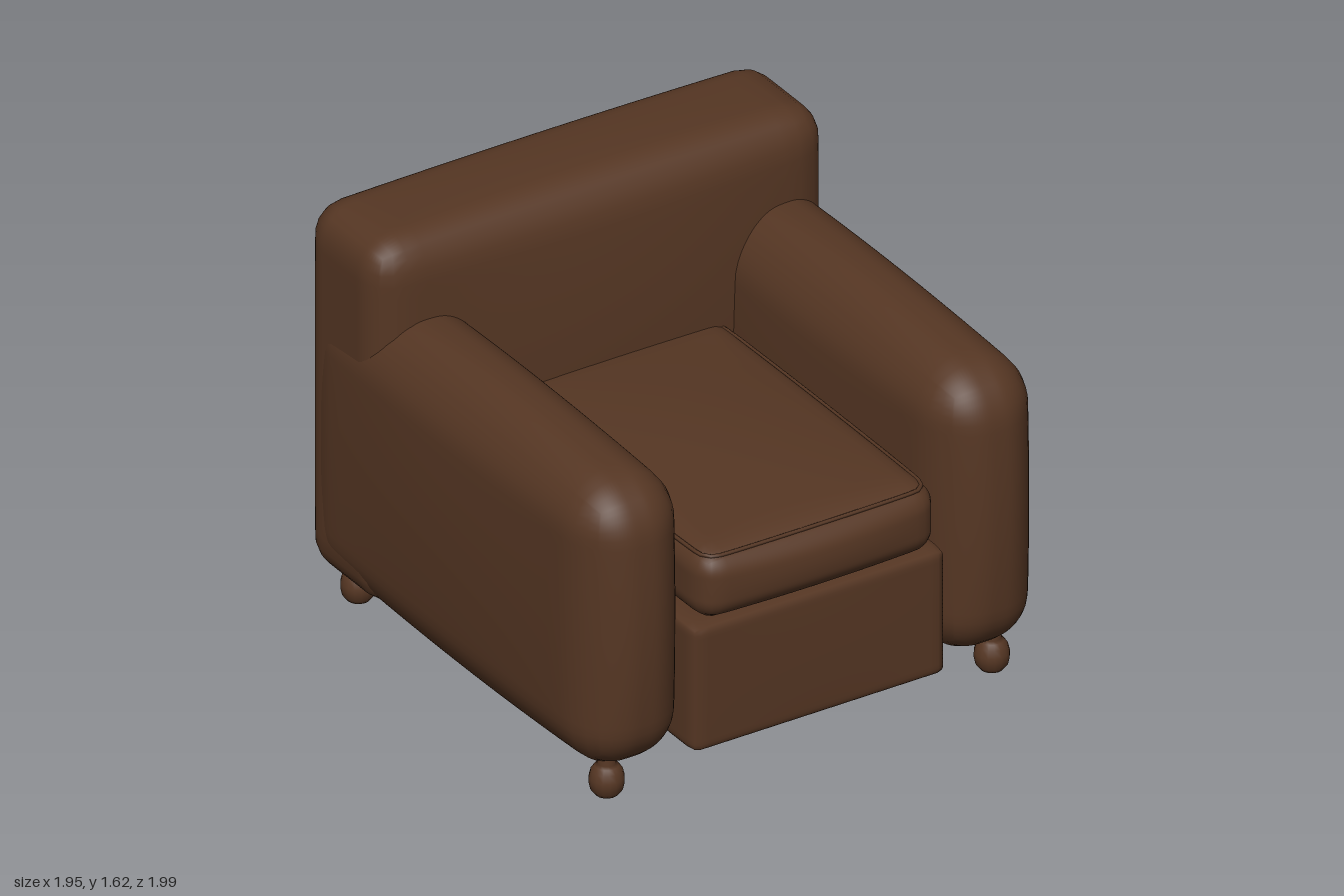
import * as THREE from 'three';
import { mergeVertices } from 'three/addons/utils/BufferGeometryUtils.js';

// Rounded block between two corners whose faces swell outward by `bulge` at their middles
function paddedBlock(min, max, radius, bulge, n = 24) {
  const size = max.map((v, i) => v - min[i]);
  const half = size.map((v) => v / 2);
  let geo = new THREE.BoxGeometry(...size, n, n, n);
  geo.deleteAttribute('normal');
  geo.deleteAttribute('uv');
  geo = mergeVertices(geo, 1e-4);
  const pos = geo.attributes.position;
  const p = new THREE.Vector3();
  const core = new THREE.Vector3();
  const inner = new THREE.Vector3(...half.map((h) => h - radius));
  const outer = inner.clone().negate();
  for (let i = 0; i < pos.count; i++) {
    p.fromBufferAttribute(pos, i);
    core.copy(p).clamp(outer, inner);
    p.sub(core).setLength(radius).add(core);
    const u = p.toArray().map((v, k) => v / half[k]);
    const f = u.map((v) => Math.max(0, 1 - v * v));
    p.x += bulge[0] * u[0] * f[1] * f[2];
    p.y += bulge[1] * u[1] * f[0] * f[2];
    p.z += bulge[2] * u[2] * f[0] * f[1];
    pos.setXYZ(i, p.x, p.y, p.z);
  }
  geo.translate(...min.map((v, i) => (v + max[i]) / 2));
  geo.computeVertexNormals();
  return geo;
}

// Closed rounded-rectangle cord lying flat at height y
function cord(halfX, z0, z1, y, corner, radius) {
  const pts = [];
  const corners = [[1, z1, 0], [-1, z1, 1], [-1, z0, 2], [1, z0, 3]];
  for (const [sx, z, quarter] of corners) {
    const cz = z + (z === z1 ? -corner : corner);
    for (let i = 0; i <= 4; i++) {
      const a = (quarter + i / 4) * Math.PI / 2;
      pts.push(new THREE.Vector3(
        sx * (halfX - corner) + Math.cos(a) * corner, y, cz + Math.sin(a) * corner));
    }
  }
  const path = new THREE.CatmullRomCurve3(pts, true, 'centripetal');
  return new THREE.TubeGeometry(path, 120, radius, 6, true);
}

export function createModel() {
  const model = new THREE.Group();
  model.name = 'armchair';
  const leather = new THREE.MeshStandardMaterial({ color: 0x553623 });
  leather.name = 'brownLeather';

  const add = (name, geo) => {
    const mesh = new THREE.Mesh(geo, leather);
    mesh.name = name;
    model.add(mesh);
    return mesh;
  };

  // Seat base and backrest
  add('seatBase', paddedBlock([-0.525, 0.13, -0.93], [0.525, 0.635, 0.945], 0.03, [0, 0, 0.005], 32));
  add('backrest', paddedBlock([-0.945, 0.13, -0.935], [0.945, 1.6, -0.44], 0.13, [0, 0.022, 0.063], 28));

  // Cushion with a cord along its upper edge
  add('seatCushion', paddedBlock([-0.495, 0.635, -0.48], [0.495, 0.91, 0.955], 0.09, [0, 0.05, 0.04], 28));
  add('cushionPiping', cord(0.46, -0.44, 0.925, 0.893, 0.06, 0.008));

  // Arms
  for (const side of [-1, 1]) {
    const arm = paddedBlock([-0.208, 0.13, -0.94], [0.208, 1.25, 0.94], 0.18, [0.03, 0.055, 0.04], 28);
    arm.translate(side * 0.735, 0, 0);
    add(side > 0 ? 'leftArm' : 'rightArm', arm);
  }

  // Turned ball feet
  const profile = [[0, 0], [0.042, 0.002], [0.058, 0.022], [0.064, 0.05], [0.064, 0.07],
    [0.057, 0.098], [0.044, 0.116], [0.034, 0.125], [0.034, 0.2]].map((q) => new THREE.Vector2(...q));
  const foot = new THREE.LatheGeometry(profile, 16);
  for (const x of [-0.8, 0.8]) {
    for (const z of [-0.79, 0.81]) {
      add((z > 0 ? 'front' : 'back') + (x > 0 ? 'Left' : 'Right') + 'Foot', foot).position.set(x, 0, z);
    }
  }
  return model;
}
